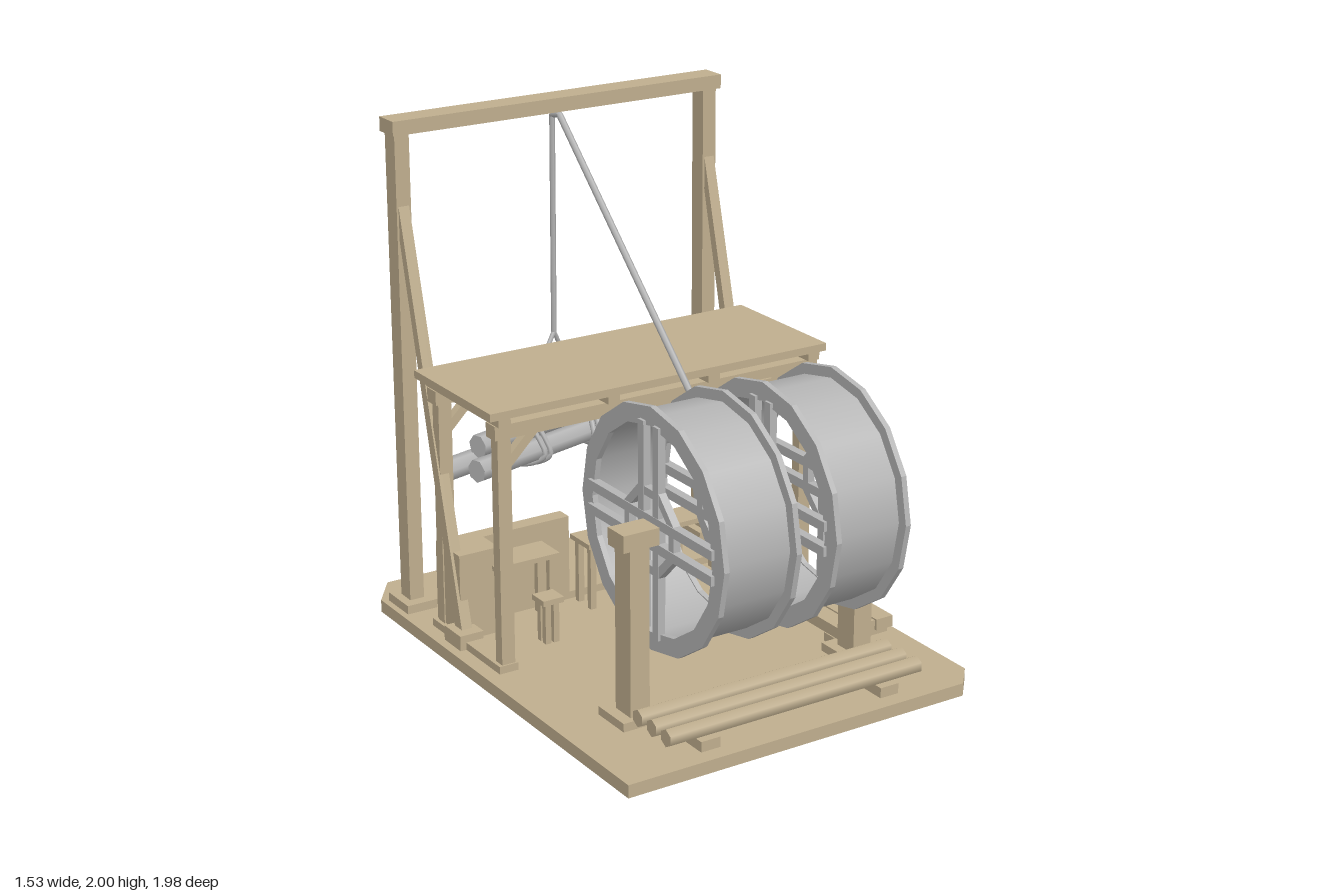
import * as THREE from 'three';

export function createModel() {
  const model = new THREE.Group();
  model.name = 'treadwheelCrane';
  const wood = new THREE.MeshStandardMaterial({ color: 0xbfae8e });
  wood.name = 'wood';
  const grey = new THREE.MeshStandardMaterial({ color: 0xb5b5b5, side: THREE.DoubleSide });
  grey.name = 'grey';

  const add = (name, geo, mat = wood, parent = model) => {
    const m = new THREE.Mesh(geo, mat);
    m.name = name;
    parent.add(m);
    return m;
  };
  // Box given by its bounds
  const box = (name, x0, x1, y0, y1, z0, z1, mat, parent) => {
    const m = add(name, new THREE.BoxGeometry(x1 - x0, y1 - y0, z1 - z0), mat, parent);
    m.position.set((x0 + x1) / 2, (y0 + y1) / 2, (z0 + z1) / 2);
    return m;
  };
  // Box given on the +x side and mirrored to -x
  const pair = (name, x0, x1, y0, y1, z0, z1) => {
    box(name + 'Left', x0, x1, y0, y1, z0, z1);
    box(name + 'Right', -x1, -x0, y0, y1, z0, z1);
  };
  // Straight round or many-sided bar between two points
  const bar = (name, a, b, r, sides, mat) => {
    const p = new THREE.Vector3(...a), q = new THREE.Vector3(...b);
    const d = q.clone().sub(p);
    const m = add(name, new THREE.CylinderGeometry(r, r, d.length(), sides), mat);
    m.position.copy(p).add(q).multiplyScalar(0.5);
    m.quaternion.setFromUnitVectors(new THREE.Vector3(0, 1, 0), d.normalize());
    return m;
  };
  const polygon = (pts) => new THREE.Shape(pts.map((p) => new THREE.Vector2(...p)));
  const extrude = (shape, depth) =>
    new THREE.ExtrudeGeometry(shape, { depth, bevelEnabled: false });

  // Ground platform with cut corners
  const floor = polygon([[-0.77, -0.975], [0.68, -0.975], [0.765, -0.88], [0.765, 0.93],
    [0.64, 0.99], [-0.67, 0.99], [-0.77, 0.85]]);
  add('platform', extrude(floor, 0.05).rotateX(-Math.PI / 2));

  // Tall rear gantry
  pair('gantryPost', 0.65, 0.71, 0.05, 1.95, -0.79, -0.715);
  pair('gantryFoot', 0.615, 0.745, 0.05, 0.085, -0.83, -0.67);
  box('gantryBeam', -0.725, 0.72, 1.945, 2, -0.8, -0.695);
  for (const s of [-1, 1]) {
    const brace = polygon([[0.31, 0.1], [0.365, 0.1], [0.72, 1.56], [0.72, 1.69]]);
    const m = add('gantryBrace', extrude(brace, 0.044).rotateY(Math.PI / 2));
    m.position.x = s * 0.68 - 0.022;
  }
  pair('braceFoot', 0.635, 0.735, 0.05, 0.11, -0.39, -0.265);
  pair('sideSill', 0.63, 0.71, 0.05, 0.08, -0.53, -0.01);
  box('backSill', -0.65, 0.65, 0.05, 0.08, -0.52, -0.46);

  // Canopy
  box('canopyRoof', -0.74, 0.735, 1.055, 1.085, -0.56, 0.015);
  for (const x of [-0.68, -0.22, 0.22, 0.68])
    box('canopyJoist', x - 0.025, x + 0.025, 1.025, 1.055, -0.54, 0.013);
  for (const z of [-0.04, -0.485]) {
    box('canopyBeam', -0.71, 0.71, 0.97, 1.025, z - 0.033, z + 0.033);
    pair('canopyPost', 0.64, 0.695, 0.05, 0.97, z - 0.023, z + 0.023);
    for (const s of [-1, 1]) {
      const knee = polygon([[s * 0.64, 0.85], [s * 0.64, 0.9], [s * 0.57, 0.97], [s * 0.52, 0.97]]);
      add('kneeBrace', extrude(knee, 0.036)).position.z = z - 0.018;
    }
  }
  box('hangingBoard', 0.24, 0.485, 0.82, 0.99, 0.003, 0.013);

  // Treadwheels
  const gon = (r, n, ph = 0) => Array.from({ length: n }, (_, i) => {
    const a = ph + (i / n) * Math.PI * 2;
    return [Math.cos(a) * r, Math.sin(a) * r];
  });
  const ring = (ro, ri, n, depth, ph) => {
    const s = polygon(gon(ro, n, ph));
    s.holes.push(new THREE.Path(gon(ri, n, ph).reverse().map((p) => new THREE.Vector2(...p))));
    return extrude(s, depth).translate(0, 0, -depth / 2).rotateY(Math.PI / 2);
  };
  for (const cx of [-0.235, 0.235]) {
    const wheel = new THREE.Group();
    wheel.name = 'treadwheel';
    wheel.position.set(cx, 0.745, 0.533);
    model.add(wheel);
    for (const r of [0.42, 0.395])
      add('drum', new THREE.CylinderGeometry(r, r, 0.3, 16, 1, true).rotateZ(Math.PI / 2)
        .rotateX(Math.PI / 2), grey, wheel);
    for (const s of [-1, 1]) {
      add('rim', ring(0.46, 0.39, 16, 0.022), grey, wheel).position.x = s * 0.15;
      add('hubRing', ring(0.172, 0.138, 8, 0.03, Math.PI / 8), grey, wheel).position.x = s * 0.155;
      for (const o of [-0.047, 0.047]) {
        const x = s * 0.157;
        box('spoke', x - 0.017, x + 0.017, o - 0.018, o + 0.018, -0.4, 0.4, grey, wheel);
        box('spoke', x - 0.015, x + 0.015, -0.4, 0.4, o - 0.018, o + 0.018, grey, wheel);
      }
    }
  }

  // Wheel supports
  pair('wheelPost', 0.45, 0.53, 0.05, 0.73, 0.51, 0.61);
  pair('wheelPostCap', 0.41, 0.557, 0.72, 0.785, 0.508, 0.612);
  pair('wheelPostFoot', 0.41, 0.575, 0.05, 0.083, 0.465, 0.635);

  // Six-sided timbers on bearers at the front
  for (const z of [0.687, 0.778, 0.868])
    bar('timber', [-0.55, 0.12, z], [0.545, 0.12, z], 0.034, 6, wood).rotateY(Math.PI / 6);
  pair('timberBearer', 0.35, 0.43, 0.05, 0.09, 0.62, 0.91);

  // Planks at the side
  for (const x of [0.475, 0.56, 0.645]) box('plank', x, x + 0.077, 0.085, 0.13, 0.075, 0.495);
  for (const z of [0.14, 0.43]) box('plankBearer', 0.47, 0.725, 0.05, 0.085, z - 0.03, z + 0.03);

  // Furniture under the canopy
  const table = (name, x0, x1, top, z0, z1, t, leg) => {
    box(name + 'Top', x0, x1, top - t, top, z0, z1);
    for (const x of [x0 + 0.015, x1 - 0.015 - leg])
      for (const z of [z0 + 0.012, z1 - 0.012 - leg])
        box(name + 'Leg', x, x + leg, 0.05, top - t, z, z + leg);
  };
  for (const x of [-0.55, -0.14, 0.26]) table('table', x, x + 0.28, 0.33, -0.45, -0.31, 0.02, 0.025);
  for (const x of [-0.45, 0.36]) table('stool', x, x + 0.09, 0.235, -0.215, -0.13, 0.022, 0.024);
  box('storageBox', -0.69, -0.14, 0.05, 0.4, -0.525, -0.46);
  box('storageBoxEnd', -0.69, -0.52, 0.05, 0.4, -0.46, -0.34);

  // Hoisting rope from the wheels over the beam
  const top = [-0.015, 1.935, -0.7];
  const bend = [-0.015, 1.925, -0.755];
  const knot = [-0.015, 1.05, -0.765];
  bar('haulRope', [-0.015, 0.79, 0.52], top, 0.013, 6, grey);
  bar('beamRope', top, bend, 0.013, 6, grey);
  bar('liftRope', bend, knot, 0.011, 6, grey);

  // Hanging log bundle
  bar('log', [-0.575, 0.61, -0.665], [0.49, 0.61, -0.945], 0.047, 7, grey);
  bar('log', [-0.465, 0.61, -0.6], [0.435, 0.61, -0.84], 0.047, 7, grey);
  bar('log', [-0.425, 0.685, -0.66], [0.395, 0.685, -0.875], 0.047, 7, grey);

  // Slings: a loop around the logs and a leg up to the knot
  const tilt = Math.atan2(0.28, 1.065);
  for (const [x, z, lean] of [[-0.2, -0.718, 0.2], [0.15, -0.81, -0.2]]) {
    const loop = new THREE.CatmullRomCurve3([[0.56, 0.05], [0.555, -0.05], [0.6, -0.105], [0.65, -0.09],
      [0.735, -0.03], [0.735, 0.03], [0.65, 0.09], [0.6, 0.105]]
      .map(([y, w]) => new THREE.Vector3(w * lean * 2, y, w)), true);
    for (const dx of [-0.012, 0.014]) {
      const m = add('slingLoop', new THREE.TubeGeometry(loop, 32, 0.011, 6, true), grey);
      m.position.set(x + dx, 0, z);
      m.rotation.y = tilt;
    }
    bar('slingLeg', knot, [x, 0.735, z - 0.015], 0.01, 6, grey);
  }
  return model;
}
